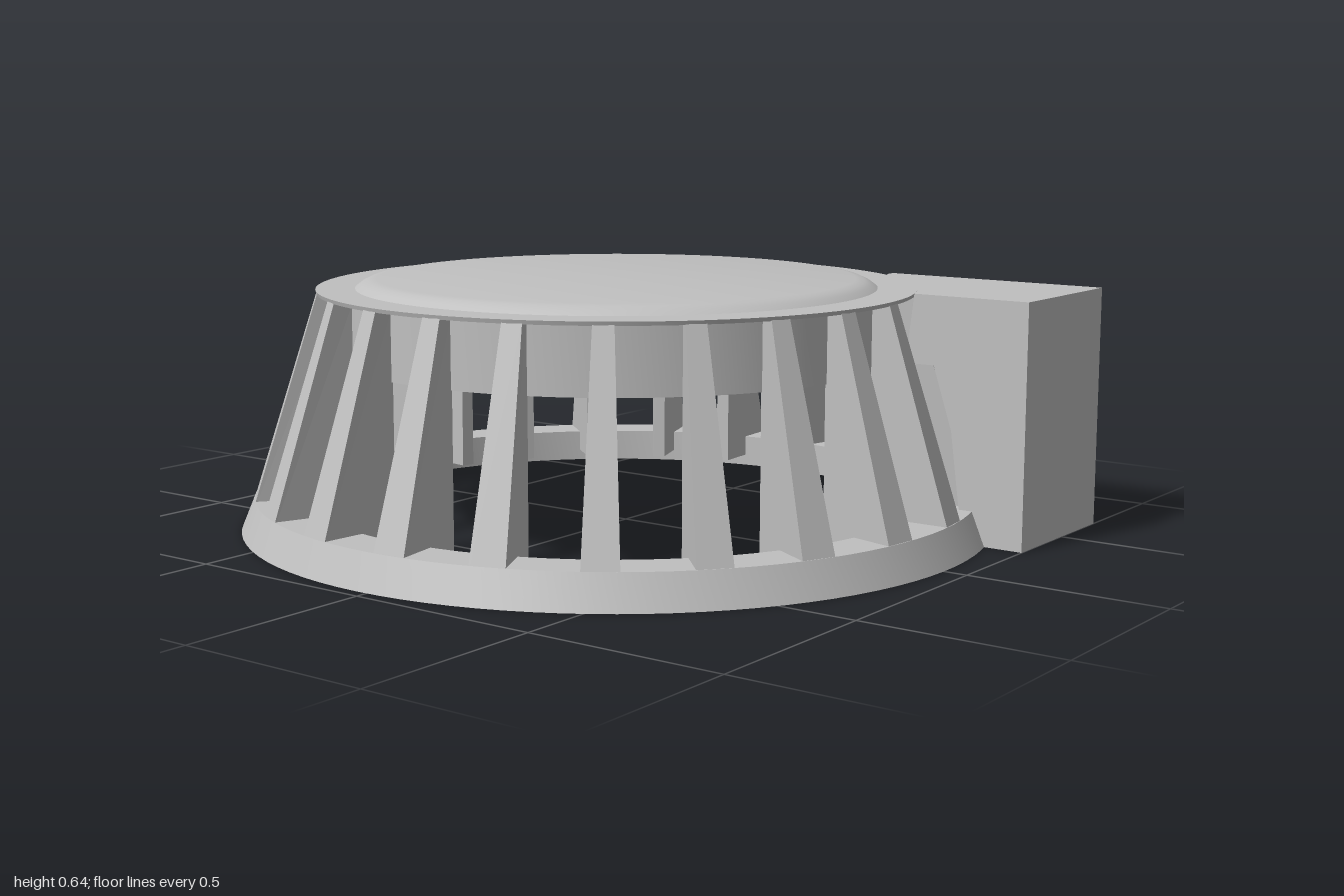
import * as THREE from 'three';
import { toCreasedNormals } from 'three/addons/utils/BufferGeometryUtils.js';

const CENTER_Z = -0.03;
const RIBS = 23;

// Round part turned from a profile of [radius, y] points
function turned(profile) {
  const points = profile.map(([r, y]) => new THREE.Vector2(r, y));
  return toCreasedNormals(new THREE.LatheGeometry(points, 96), 0.35);
}

// Tapered rib: wide sloping outer face, narrow upright inner edge
function ribGeometry() {
  const g = new THREE.BoxGeometry(1, 1, 1);
  const p = g.attributes.position;
  for (let i = 0; i < p.count; i++) {
    const top = p.getY(i) > 0, outer = p.getZ(i) > 0, side = Math.sign(p.getX(i));
    const width = outer ? (top ? 0.05 : 0.092) : 0.035;
    const radius = outer ? (top ? 0.766 : 0.95) : 0.715;
    p.setXYZ(i, side * width / 2, top ? 0.61 : 0.03, radius);
  }
  const flat = g.toNonIndexed();
  flat.computeVertexNormals();
  return flat;
}

// Block whose rear wall follows the round body at each height
function blockGeometry() {
  const x0 = 0.28, x1 = 0.69, front = 1, n = 16;
  const levels = [[0, 0.82], [0.085, 0.9], [0.28, 0.875], [0.44, 0.825], [0.44, 0.75], [0.615, 0.77]];
  const out = [];
  const quad = (a, b, c, d) => [a, b, c, a, c, d].forEach((v) => out.push(...v));
  const rows = levels.map(([y, r]) => {
    const rear = [], face = [];
    for (let i = 0; i <= n; i++) {
      const x = x0 + (x1 - x0) * i / n;
      rear.push([x, y, Math.max(0.39, Math.sqrt(r * r - x * x) + CENTER_Z)]);
      face.push([x, y, front]);
    }
    return { rear, face, loop: [...rear, ...face.slice().reverse()] };
  });
  for (let k = 0; k < rows.length - 1; k++) {
    const a = rows[k].loop, b = rows[k + 1].loop;
    a.forEach((_, i) => {
      const j = (i + 1) % a.length;
      quad(a[i], b[i], b[j], a[j]);
    });
  }
  const bottom = rows[0], top = rows[rows.length - 1];
  for (let i = 0; i < n; i++) {
    quad(top.rear[i], top.face[i], top.face[i + 1], top.rear[i + 1]);
    quad(bottom.rear[i], bottom.rear[i + 1], bottom.face[i + 1], bottom.face[i]);
  }
  const g = new THREE.BufferGeometry();
  g.setAttribute('position', new THREE.Float32BufferAttribute(out, 3));
  g.computeVertexNormals();
  return toCreasedNormals(g, 0.35);
}

export function createModel() {
  const model = new THREE.Group();
  model.name = 'slottedHousing';
  const grey = new THREE.MeshStandardMaterial({ color: 0xc0c0c0 });
  grey.name = 'light grey';

  const add = (parent, name, geometry) => {
    const mesh = new THREE.Mesh(geometry, grey);
    mesh.name = name;
    parent.add(mesh);
    return mesh;
  };

  const body = new THREE.Group();
  body.name = 'roundBody';
  body.position.z = CENTER_Z;
  model.add(body);

  // Base ring
  add(body, 'baseRing', turned([[0.82, 0], [0.97, 0], [0.935, 0.085], [0.82, 0.085], [0.82, 0]]));

  // Cap with a hanging collar and a slightly raised disc
  add(body, 'cap', turned([
    [0, 0.6], [0.69, 0.6], [0.69, 0.435], [0.72, 0.435], [0.72, 0.605], [0.767, 0.605],
    [0.77, 0.615], [0.67, 0.615], [0.655, 0.626], [0.638, 0.634], [0.615, 0.638], [0, 0.638],
  ]));

  // Ribs between base ring and cap
  const ribs = new THREE.Group();
  ribs.name = 'ribs';
  body.add(ribs);
  const rib = ribGeometry();
  for (let i = 0; i < RIBS; i++) {
    add(ribs, 'rib', rib).rotation.y = Math.PI + i * 2 * Math.PI / RIBS;
  }

  // Square block on the front left of the body
  add(model, 'sideBlock', blockGeometry());

  return model;
}
